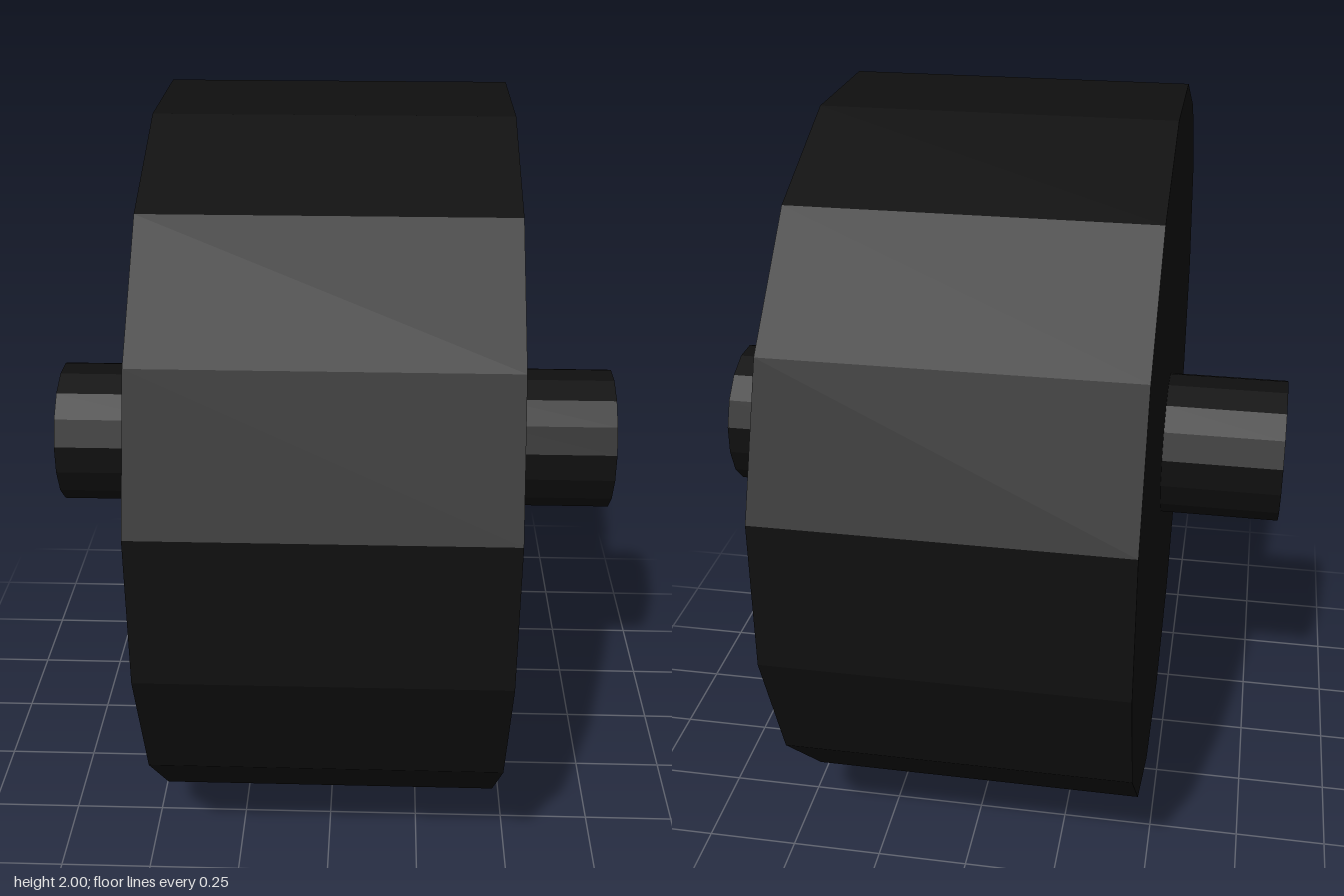
import * as THREE from 'three';

const SIDES = 16;

// Sixteen-sided drum lying along x, flats facing up, down, front and back
function drum(flatRadius, length, open) {
  const radius = flatRadius / Math.cos(Math.PI / SIDES);
  const geometry = new THREE.CylinderGeometry(
    radius, radius, length, SIDES, 1, open, Math.PI / SIDES, Math.PI * 2
  );
  geometry.rotateZ(Math.PI / 2);
  // Unshared corners give each side its own flat normal
  const flat = geometry.toNonIndexed();
  flat.computeVertexNormals();
  return flat;
}

export function createModel() {
  const group = new THREE.Group();
  group.name = 'wheel';

  const rubber = new THREE.MeshStandardMaterial({ color: 0x0f0f0f, side: THREE.DoubleSide });
  rubber.name = 'black rubber';

  const wheelHalf = 0.465;
  const axleEnd = 0.8;

  // Solid tyre
  const tyre = new THREE.Mesh(drum(1, wheelHalf * 2, false), rubber);
  tyre.name = 'tyre';
  tyre.position.y = 1;
  group.add(tyre);

  // Hollow axle stubs, open at the outer ends
  for (const side of [1, -1]) {
    const stub = new THREE.Mesh(drum(0.2, axleEnd - wheelHalf, true), rubber);
    stub.name = side > 0 ? 'leftAxle' : 'rightAxle';
    stub.position.set(side * (wheelHalf + axleEnd) / 2, 1, 0);
    group.add(stub);
  }

  return group;
}
